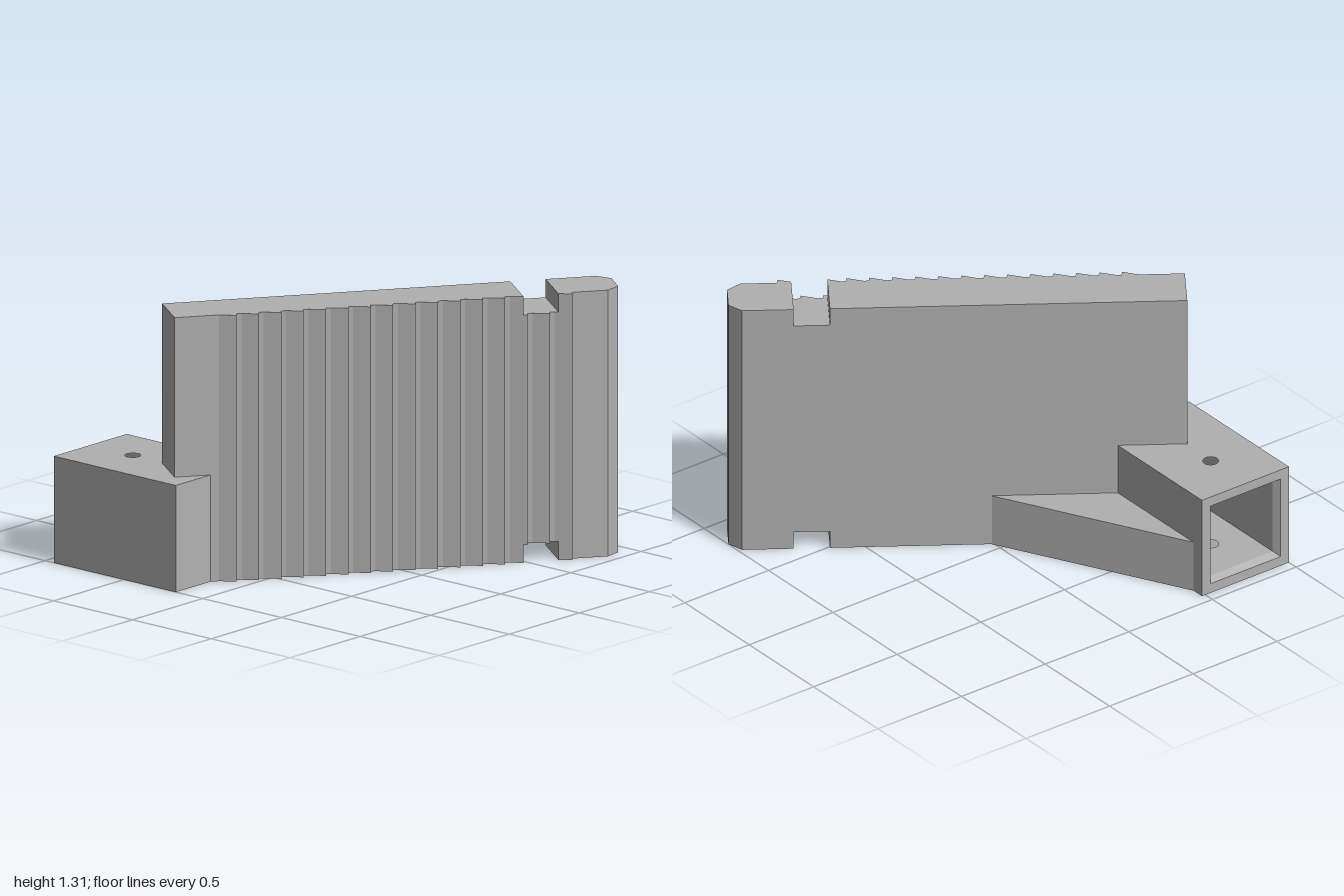
import * as THREE from 'three';

const grey = new THREE.MeshStandardMaterial({ color: 0xb0b0b0 });
grey.name = 'plain grey';

// Vertical prism from a plan outline of [x, z] points, optionally with a round hole
function prism(name, outline, y0, y1, hole) {
  const shape = new THREE.Shape(outline.map(([x, z]) => new THREE.Vector2(x, -z)));
  if (hole) shape.holes.push(new THREE.Path().absarc(hole.x, -hole.z, hole.r, 0, Math.PI * 2, true));
  const geo = new THREE.ExtrudeGeometry(shape, { depth: y1 - y0, bevelEnabled: false, curveSegments: 24 });
  geo.rotateX(-Math.PI / 2).translate(0, y0, 0);
  const mesh = new THREE.Mesh(geo, grey);
  mesh.name = name;
  return mesh;
}

const rect = (x0, z0, x1, z1) => [[x0, z0], [x1, z0], [x1, z1], [x0, z1]];

// Plate coordinates: s runs along the plate, n across it from back to front
const angle = Math.atan2(1.21, 1.73);
const toPlan = ([s, n]) => [
  -0.75 + s * Math.cos(angle) - n * Math.sin(angle),
  -0.48 + s * Math.sin(angle) + n * Math.cos(angle),
];

function createPlate() {
  const group = new THREE.Group();
  group.name = 'serratedPlate';
  const H = 1.31, T = 0.256, notch = 0.09;

  // Front profile: a saw edge, then the bevelled tip
  const front = [[0, T]];
  for (let i = 0; i < 16; i++) {
    const peak = 0.295 + i * 0.109;
    front.push([peak - 0.079, T], [peak, T + 0.028], [peak + 0.006, T]);
  }
  front.push([2.11, T], [2.174, 0.198], [2.174, 0.056], [2.112, 0]);

  const heightAt = (s) => {
    const i = front.findIndex((p) => p[0] >= s);
    if (i <= 0) return front[0][1];
    const [a, b] = [front[i - 1], front[i]];
    return a[1] + (b[1] - a[1]) * (s - a[0]) / (b[0] - a[0]);
  };
  const section = (s0, s1) => [
    [s0, 0], [s0, heightAt(s0)],
    ...front.filter(([s]) => s > s0 && s < s1),
    ...(s1 < 2.1 ? [[s1, heightAt(s1)], [s1, 0]] : []),
  ].map(toPlan);

  // The neck is shorter, leaving a notch at top and bottom
  const n0 = 1.695, n1 = 1.867;
  group.add(prism('plateBody', section(0, n0), 0, H));
  group.add(prism('notchedNeck', section(n0, n1), notch, H - notch));
  group.add(prism('plateTip', section(n1, 3), 0, H));
  return group;
}

function createSocket() {
  const group = new THREE.Group();
  group.name = 'squareSocket';
  const x0 = -1, x1 = -0.48, z0 = -0.945, z1 = -0.17, H = 0.525;
  const rim = 0.05, wall = 0.07, flare = 0.035;
  const hole = { x: -0.74, z: -0.675, r: 0.038 };

  // Side walls with a flared mouth
  for (const [name, x, d] of [['rightWall', x0, 1], ['leftWall', x1, -1]]) {
    group.add(prism(name, [
      [x, z0], [x + d * rim, z0], [x + d * wall, z0 + flare], [x + d * wall, z1], [x, z1],
    ], 0, H));
  }

  // Floor and roof, each with a pin hole and a flared lip
  for (const [name, y, d] of [['floor', 0, 1], ['roof', H, -1]]) {
    const yIn = y + d * wall;
    group.add(prism(name, rect(x0, z0 + flare, x1, z1), Math.min(y, yIn), Math.max(y, yIn), hole));
    const profile = [[z0, y], [z0, y + d * rim], [z0 + flare, yIn], [z0 + flare, y]];
    const shape = new THREE.Shape(profile.map(([z, h]) => new THREE.Vector2(-z, h)));
    const geo = new THREE.ExtrudeGeometry(shape, { depth: x1 - x0, bevelEnabled: false });
    geo.rotateY(Math.PI / 2).translate(x0, 0, 0);
    const lip = new THREE.Mesh(geo, grey);
    lip.name = name + 'Lip';
    group.add(lip);
  }

  // Closed front end
  group.add(prism('frontWall', rect(x0, z1 - rim, x1, z1), 0, H));
  return group;
}

export function createModel() {
  const model = new THREE.Group();
  model.name = 'serratedPlateOnSocket';
  model.add(createPlate(), createSocket());
  // Low triangular brace between the socket and the back of the plate
  model.add(prism('brace', [[-0.48, -0.88], [0.01, 0.05], [-0.08, 0.05], [-0.48, -0.23]], 0, 0.265));
  return model;
}
